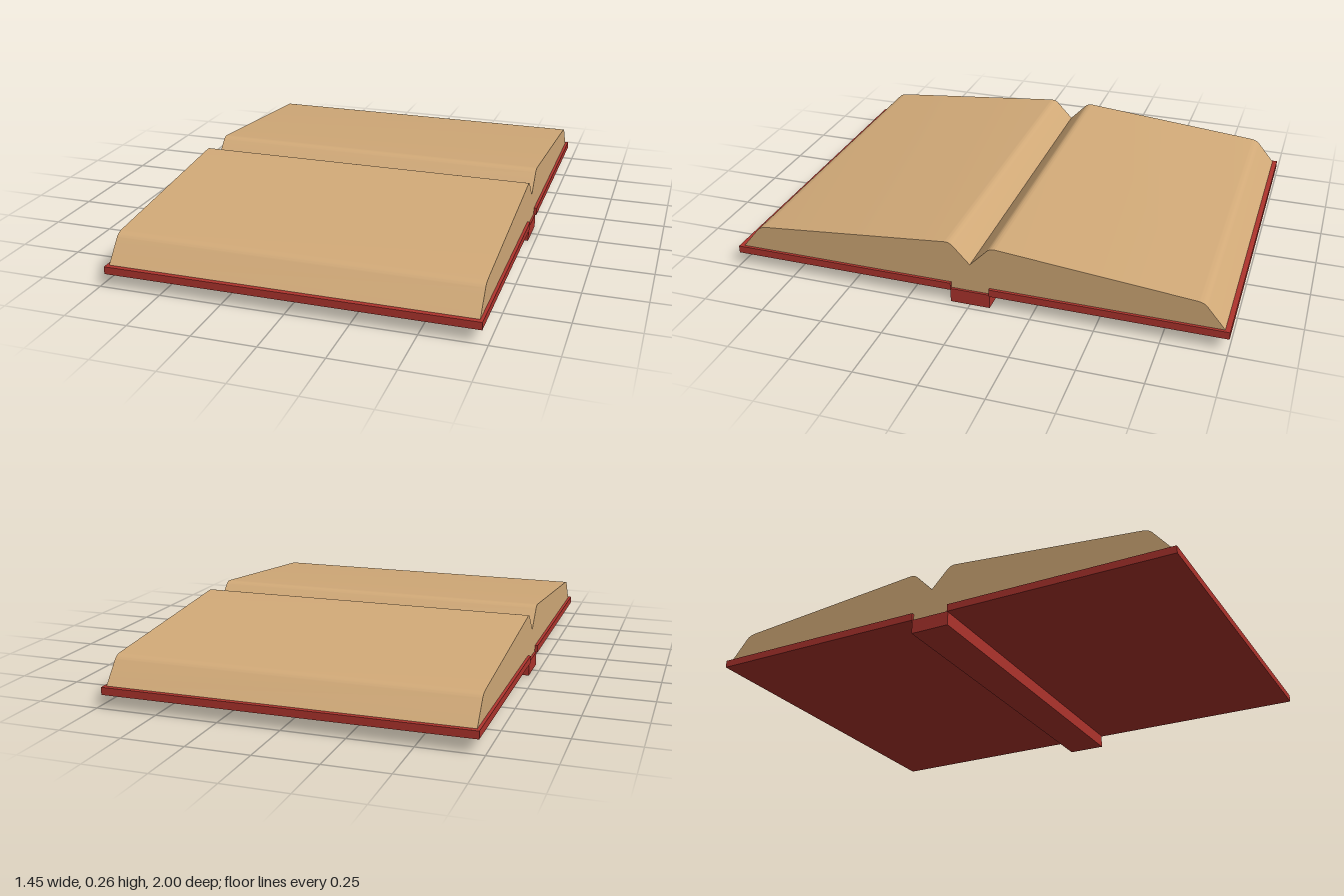
import * as THREE from 'three';
import { toCreasedNormals } from 'three/addons/utils/BufferGeometryUtils.js';

export function createModel() {
  const group = new THREE.Group();
  group.name = 'openBook';
  const paper = new THREE.MeshStandardMaterial({ name: 'tan paper', color: 0xd2aa78 });
  const cover = new THREE.MeshStandardMaterial({ name: 'red cover', color: 0xaf342d });

  const add = (name, geometry, material, x, y, z) => {
    const mesh = new THREE.Mesh(geometry, material);
    mesh.name = name;
    mesh.position.set(x, y, z);
    group.add(mesh);
  };

  // Two cover boards joined by a lower spine strip
  const board = new THREE.BoxGeometry(1.454, 0.03, 0.922);
  add('frontCoverBoard', board, cover, 0, 0.07, 0.539);
  add('backCoverBoard', board, cover, 0, 0.07, -0.539);
  add('spine', new THREE.BoxGeometry(1.444, 0.058, 0.16), cover, 0, 0.029, 0);

  // Page block: mirrored profile with a V gutter and rounded ridges
  const width = 1.43;
  const profile = new THREE.Shape();
  profile.moveTo(-0.985, 0.06);
  profile.lineTo(-0.98, 0.086);
  profile.lineTo(-0.91, 0.17);
  profile.quadraticCurveTo(-0.898, 0.185, -0.87, 0.188);
  profile.lineTo(-0.11, 0.259);
  profile.quadraticCurveTo(-0.085, 0.263, -0.07, 0.249);
  profile.lineTo(0, 0.176);
  profile.lineTo(0.07, 0.249);
  profile.quadraticCurveTo(0.085, 0.263, 0.11, 0.259);
  profile.lineTo(0.87, 0.188);
  profile.quadraticCurveTo(0.898, 0.185, 0.91, 0.17);
  profile.lineTo(0.98, 0.086);
  profile.lineTo(0.985, 0.06);
  profile.closePath();
  const block = new THREE.ExtrudeGeometry(profile, { depth: width, bevelEnabled: false, curveSegments: 8 });
  block.translate(0, 0, -width / 2);
  block.rotateY(Math.PI / 2);
  add('pages', toCreasedNormals(block, 0.5), paper, 0, 0, 0);

  return group;
}
